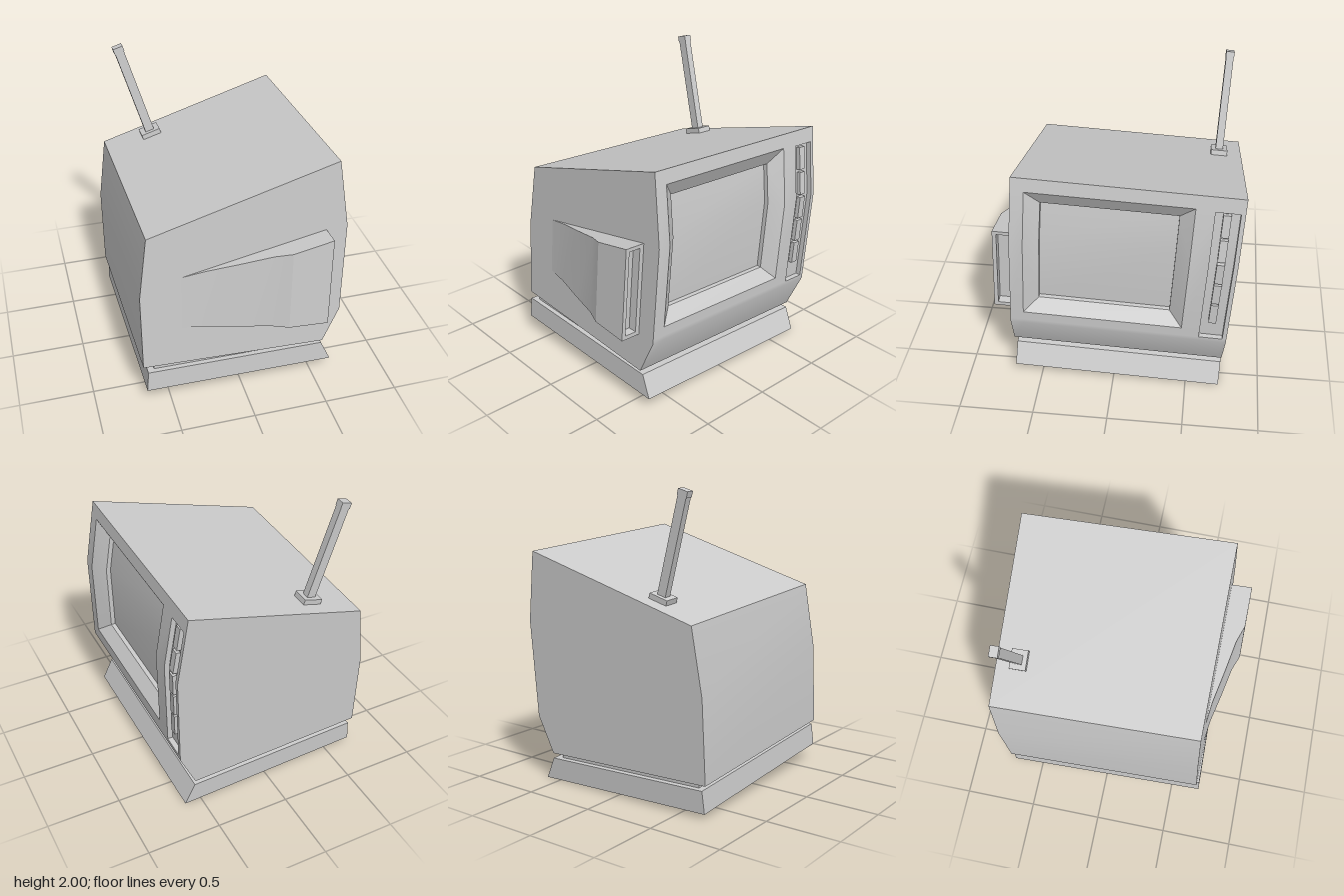
import * as THREE from 'three';
import { toCreasedNormals } from 'three/addons/utils/BufferGeometryUtils.js';

const mat = new THREE.MeshStandardMaterial({ color: 0xcccccc });

// Collects convex polygons (corners counter-clockwise from outside) into one mesh
class Faces {
  constructor() { this.pos = []; }
  add(...p) {
    for (let i = 1; i < p.length - 1; i++) this.pos.push(...p[0], ...p[i], ...p[i + 1]);
  }
  mesh(name, crease) {
    const g = new THREE.BufferGeometry();
    g.setAttribute('position', new THREE.Float32BufferAttribute(this.pos, 3));
    g.computeVertexNormals();
    const m = new THREE.Mesh(toCreasedNormals(g, crease), mat);
    m.name = name;
    return m;
  }
}

function box(name, w, h, d, x, y, z) {
  const m = new THREE.Mesh(new THREE.BoxGeometry(w, h, d), mat);
  m.name = name;
  m.position.set(x, y, z);
  return m;
}

// Cabinet outline in x-y: screen side from bottom to top, then the rear side
const screenSide = [[0.55, 0.247], [0.655, 0.5], [0.658, 1.16], [0.578, 1.627]];
const rearSide = [[-0.653, 1.236], [-0.703, 0.8], [-0.694, 0.247]];
const BEND = 1.16, BACK = -0.718;
const frontZ = x => 0.7 + 0.03 * x;

// x of the screen-side surface at height y
function faceX(y) {
  let i = 0;
  while (i < 2 && y > screenSide[i + 1][1]) i++;
  const [a, b] = [screenSide[i], screenSide[i + 1]];
  return a[0] + (b[0] - a[0]) * (y - a[1]) / (b[1] - a[1]);
}

// Closed loop around a rectangle [z0, z1, y0, y1] lying on surface X(y), sunk by depth
function rectLoop([z0, z1, y0, y1], X, depth) {
  const ym = Math.min(Math.max(BEND, y0 + 0.01), y1 - 0.01);
  return [[z1, y0], [z0, y0], [z0, ym], [z0, y1], [z1, y1], [z1, ym]]
    .map(([z, y]) => [X(y) - depth, y, z]);
}

// Walls between two loops, and a floor split at the bend
function band(f, A, B) {
  A.forEach((a, i) => {
    const j = (i + 1) % A.length;
    f.add(a, A[j], B[j], B[i]);
  });
}
function floor(f, L) {
  f.add(L[0], L[1], L[2], L[5]);
  f.add(L[5], L[2], L[3], L[4]);
}

const SCREEN = [-0.415, 0.633, 0.595, 1.535];
const GLASS = [-0.325, 0.54, 0.68, 1.43];
const CONTROLS = [-0.69, -0.535, 0.53, 1.525];

function cabinet() {
  const f = new Faces();
  const outline = [...screenSide, ...rearSide];
  // front and back walls
  f.add(...outline.map(([x, y]) => [x, y, frontZ(x)]));
  f.add(...outline.map(([x, y]) => [x, y, BACK]).reverse());
  // top, rear side and underside
  for (let i = 3; i < outline.length; i++) {
    const a = outline[i], b = outline[(i + 1) % outline.length];
    f.add([...a, frontZ(a[0])], [...a, BACK], [...b, BACK], [...b, frontZ(b[0])]);
  }
  // screen side: a grid of cells that leaves the two openings free
  const zs = [BACK, CONTROLS[0], CONTROLS[1], SCREEN[0], SCREEN[1], null];
  const ys = [0.247, 0.5, CONTROLS[2], SCREEN[2], BEND, CONTROLS[3], SCREEN[3], 1.627];
  const inside = (z, y, r) => z > r[0] && z < r[1] && y > r[2] && y < r[3];
  const at = (z, y) => [faceX(y), y, z ?? frontZ(faceX(y))];
  for (let i = 0; i < zs.length - 1; i++) for (let j = 0; j < ys.length - 1; j++) {
    const [z0, z1, y0, y1] = [zs[i], zs[i + 1], ys[j], ys[j + 1]];
    const zc = (z0 + (z1 ?? 0.7)) / 2, yc = (y0 + y1) / 2;
    if (inside(zc, yc, SCREEN) || inside(zc, yc, CONTROLS)) continue;
    f.add(at(z1, y0), at(z0, y0), at(z0, y1), at(z1, y1));
  }
  return f.mesh('cabinet', 0.5);
}

function screen() {
  const group = new THREE.Group();
  group.name = 'screen';
  const bezel = new Faces(), glass = new Faces();
  const inner = rectLoop(GLASS, faceX, 0.07), deep = rectLoop(GLASS, faceX, 0.1);
  band(bezel, rectLoop(SCREEN, faceX, 0), inner);
  band(bezel, inner, deep);
  floor(glass, deep);
  group.add(bezel.mesh('screenBezel', 0.3), glass.mesh('screenGlass', 0.5));
  return group;
}

function controls() {
  const group = new THREE.Group();
  group.name = 'controls';
  const f = new Faces(), deep = rectLoop(CONTROLS, faceX, 0.035);
  band(f, rectLoop(CONTROLS, faceX, 0), deep);
  floor(f, deep);
  group.add(f.mesh('controlPanel', 0.3));
  // column of five buttons following the bend
  for (let i = 0; i < 5; i++) {
    const y = 1.425 - i * 0.172;
    const b = box('button', 0.03, 0.155, 0.05, faceX(y) - 0.022, y, -0.61);
    b.rotation.z = y > BEND + 0.05 ? 0.17 : 0;
    group.add(b);
  }
  return group;
}

// Wedge-shaped housing on the front wall, with a slot in its tall end
function sideHousing() {
  const f = new Faces();
  const path = [[-0.435, 0.687], [-0.28, 0.71], [-0.07, 0.76], [0.14, 0.805], [0.25, 0.848], [0.517, 0.855]];
  const t = x => (x + 0.435) / 0.952;
  const top = x => 0.924 + 0.219 * t(x), bottom = x => 0.534 - 0.03 * t(x);
  const back = 0.67;
  for (let i = 0; i < path.length - 1; i++) {
    const [[x0, z0], [x1, z1]] = [path[i], path[i + 1]];
    const [t0, t1, b0, b1] = [top(x0), top(x1), bottom(x0), bottom(x1)];
    f.add([x0, b0, z0], [x1, b1, z1], [x1, t1, z1], [x0, t0, z0]);
    f.add([x0, t0, z0], [x1, t1, z1], [x1, t1, back], [x0, t0, back]);
    f.add([x0, b0, back], [x1, b1, back], [x1, b1, z1], [x0, b0, z0]);
  }
  const X = () => 0.517, slot = [0.745, 0.828, 0.532, 1.118];
  const rim = rectLoop(slot, X, 0), deep = rectLoop(slot, X, 0.06);
  band(f, rectLoop([back, 0.855, bottom(0.517), top(0.517)], X, 0), rim);
  band(f, rim, deep);
  floor(f, deep);
  return f.mesh('sideHousing', 0.3);
}

// Plinth flaring toward the screen side, plus the recessed neck above it
function plinth() {
  const group = new THREE.Group();
  group.name = 'base';
  const shape = new THREE.Shape([[-0.675, 0.06], [0.626, 0.06], [0.553, 0.21], [-0.665, 0.21]]
    .map(p => new THREE.Vector2(...p)));
  const g = new THREE.ExtrudeGeometry(shape, { depth: 1.41, bevelEnabled: false });
  g.translate(0, 0, -0.715);
  const m = new THREE.Mesh(g, mat);
  m.name = 'plinth';
  group.add(m, box('neck', 1.12, 0.06, 1.34, -0.06, 0.225, -0.01));
  return group;
}

// Leaning aerial standing square on the sloping top
function antenna() {
  const group = new THREE.Group();
  group.name = 'antenna';
  group.add(box('antennaFoot', 0.135, 0.04, 0.11, 0, 0.015, 0));
  group.add(box('antennaPole', 0.062, 0.66, 0.05, 0, 0.34, 0));
  group.add(box('antennaTip', 0.07, 0.04, 0.055, 0, 0.687, 0));
  group.position.set(-0.338, 1.336, -0.565);
  group.rotation.z = 0.31;
  return group;
}

export function createModel() {
  const model = new THREE.Group();
  model.name = 'television';
  const set = new THREE.Group();
  set.name = 'tiltedSet';
  set.add(cabinet(), screen(), controls(), sideHousing(), plinth(), antenna());
  // the whole set sits slightly askew
  set.rotation.set(-0.055, 0.018, -0.025);
  model.add(set);
  return model;
}
